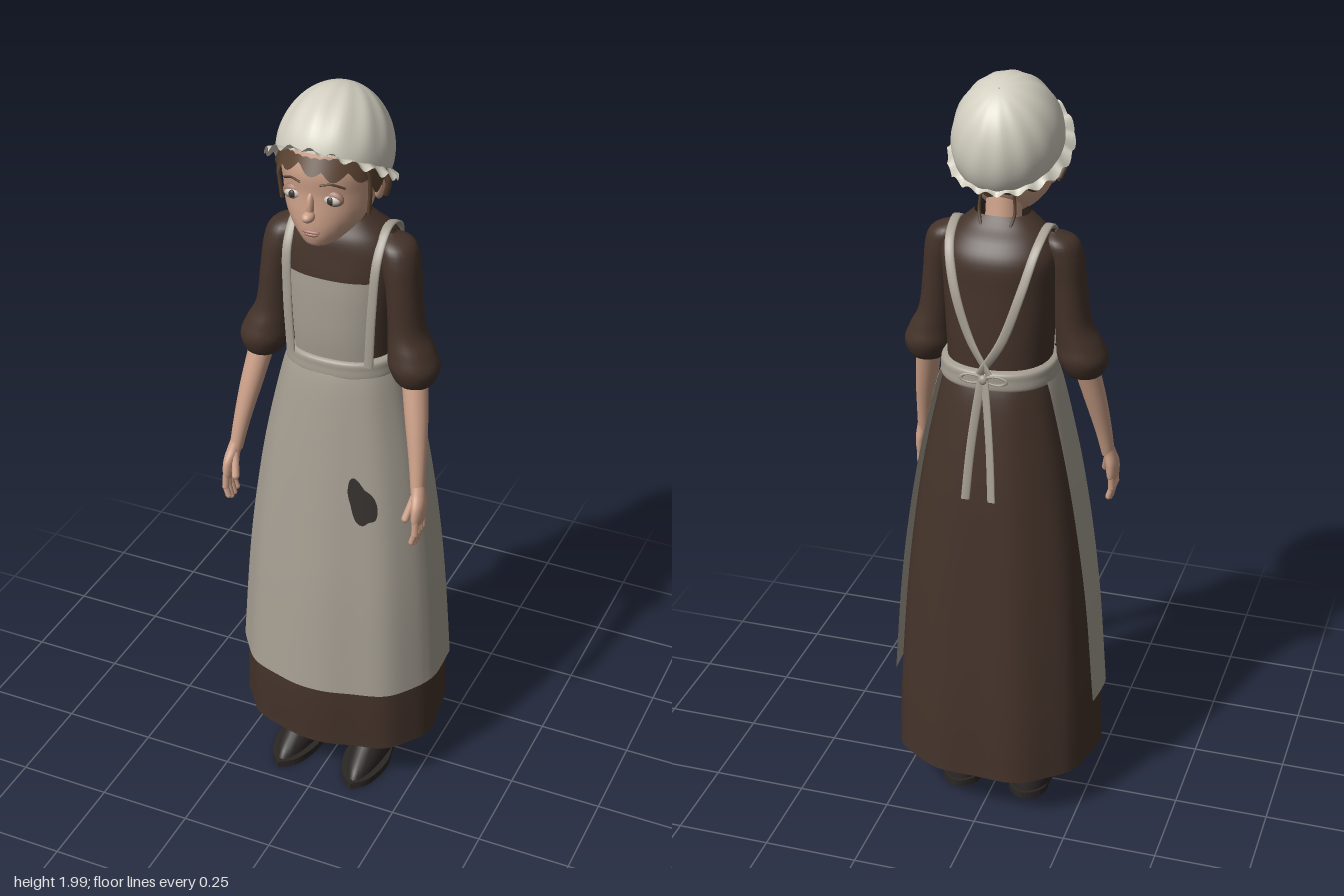
import * as THREE from 'three';
import { ParametricGeometry } from 'three/addons/geometries/ParametricGeometry.js';

const V = (x, y, z) => new THREE.Vector3(x, y, z);
const mat = (color) => new THREE.MeshStandardMaterial({ color, side: THREE.DoubleSide });
const M = {
  dress: mat(0x44332a), apron: mat(0xa59e92), cap: mat(0xd2cec0), skin: mat(0xcda189), hair: mat(0x5a4230),
  boot: mat(0x2b2725), stain: mat(0x35302d), lip: mat(0xa8766a), eye: mat(0xd0c8be), iris: mat(0x3c3632), lid: mat(0x9c7463),
};
const mesh = (name, geo, m) => {
  const o = new THREE.Mesh(geo, m);
  o.name = name;
  return o;
};

// Smooth interpolation through rows of [y, cx, cz, halfWidth, frontDepth, backDepth]
function track(rows) {
  const n = rows.length - 1;
  return (t) => {
    const f = THREE.MathUtils.clamp(t, 0, 1) * n, i = Math.min(Math.floor(f), n - 1), k = f - i;
    const [a, b, c, d] = [rows[Math.max(i - 1, 0)], rows[i], rows[i + 1], rows[Math.min(i + 2, n)]];
    return b.map((p, j) => p + 0.5 * k * (c[j] - a[j] + k * (2 * a[j] - 5 * p + 4 * c[j] - d[j]
      + k * (3 * (p - c[j]) + d[j] - a[j]))));
  };
}
const pw = (v, e) => Math.sign(v) * Math.abs(v) ** e;

// Surface point at an angle (0 = front) and height t; fold adds to the radii
function surface(rows, { e = 1, fold = () => 0 } = {}) {
  const at = track(rows);
  return (a, t, out) => {
    const [y, cx, cz, rx, rf, rb] = at(t), s = Math.sin(a), c = Math.cos(a), o = fold(a, t);
    const r = (q) => Math.max(q + o, 0.001);
    return out.set(cx + r(rx) * pw(s, e), y, cz + r(c > 0 ? rf : rb) * pw(c, e));
  };
}
function loft(name, rows, m, opt = {}) {
  const f = surface(rows, opt), span = opt.span || (() => Math.PI);
  const g = new ParametricGeometry((u, v, p) => f((2 * u - 1) * span(v), v, p), opt.nu || 32, opt.nv || rows.length * 4);
  return mesh(name, g, m);
}
const ball = (name, m, p, r) => {
  const o = mesh(name, new THREE.SphereGeometry(1, 20, 14), m);
  o.position.set(...p);
  o.scale.set(...r);
  return o;
};
const tube = (name, m, pts, r) =>
  mesh(name, new THREE.TubeGeometry(new THREE.CatmullRomCurve3(pts.map((p) => V(...p))), 12, r, 6), m);
function capsule(name, m, a, b, r) {
  const A = V(...a), B = V(...b), d = B.clone().sub(A);
  const o = mesh(name, new THREE.CapsuleGeometry(r, d.length(), 4, 10), m);
  o.position.copy(A).lerp(B, 0.5);
  o.quaternion.setFromUnitVectors(V(0, 1, 0), d.normalize());
  return o;
}
// Flat band following a path around the torso
function ribbon(name, pts, w, th, m) {
  const curve = new THREE.CatmullRomCurve3(pts.map((p) => V(...p)));
  return mesh(name, new ParametricGeometry((u, v, out) => {
    const p = curve.getPoint(v), tan = curve.getTangent(v), a = u * 2 * Math.PI;
    const side = tan.clone().cross(V(0, p.y - 1.45, p.z - 0.01)).normalize(), n = side.clone().cross(tan);
    out.copy(p).addScaledVector(side, w * pw(Math.cos(a), 0.6)).addScaledVector(n, th * Math.sin(a));
  }, 12, 40), m);
}

export function createModel() {
  const g = new THREE.Group();
  g.name = 'girlInApron';

  // Long gathered skirt
  const skirtRows = [
    [0.14, 0, 0, 0.272, 0.210, 0.242], [0.33, 0, 0, 0.266, 0.213, 0.234], [0.6, 0, 0, 0.248, 0.19, 0.213],
    [0.8, 0, 0, 0.227, 0.168, 0.196], [1.0, 0, 0, 0.196, 0.145, 0.176], [1.2, 0, 0, 0.152, 0.12, 0.148],
    [1.27, 0, 0, 0.13, 0.105, 0.125]];
  const folds = (a, t) => (1 - t) * (0.004 * Math.cos(9 * a) + 0.003 * Math.cos(5 * a + 1));
  g.add(loft('skirt', skirtRows, M.dress, { e: 0.87, nu: 72, fold: folds }));

  // Apron panel wraps the front and sides, flaring at its lower corners
  const apronRows = skirtRows.slice(1);
  const apronOpt = {
    e: 0.87, nu: 64, span: (t) => 1.82 + 0.17 * t,
    fold: (a, t) => 0.011 + folds(a, t * 0.85 + 0.15) + 0.012 * (1 - t) ** 2 * Math.max(0, Math.abs(a) - 1.3) * 2,
  };
  g.add(loft('apronSkirt', apronRows, M.apron, apronOpt));
  const onApron = surface(apronRows, apronOpt);
  g.add(mesh('apronStain', new ParametricGeometry((u, v, p) => {
    const a = u * 2 * Math.PI, r = v * (1 + 0.14 * Math.cos(3 * a + 0.5) + 0.05 * Math.sin(5 * a));
    onApron(0.47 + r * (0.17 * Math.cos(a) - 0.07 * Math.sin(a)), 0.51 + 0.062 * r * Math.sin(a), p);
    p.z += 0.003;
    p.x += 0.0015;
  }, 32, 6), M.stain));

  // Bodice, bib and waistband
  g.add(loft('bodice', [
    [1.24, 0, 0, 0.13, 0.1, 0.125], [1.35, 0, 0, 0.135, 0.108, 0.125], [1.48, 0, 0.01, 0.145, 0.1, 0.13],
    [1.56, 0, 0.01, 0.15, 0.092, 0.125], [1.605, 0, 0.01, 0.13, 0.085, 0.1], [1.635, 0, 0.012, 0.1, 0.068, 0.07],
    [1.66, 0, 0.015, 0.07, 0.052, 0.05]], M.dress, { e: 0.87, nu: 48 }));
  g.add(loft('bib', [
    [1.27, 0, 0, 0.14, 0.11, 0.11], [1.35, 0, 0, 0.145, 0.118, 0.12], [1.45, 0, 0.007, 0.15, 0.113, 0.12],
    [1.51, 0, 0.01, 0.155, 0.108, 0.12]], M.apron, { e: 0.87, span: () => 0.71 }));
  g.add(loft('waistband', [
    [1.235, 0, 0, 0.135, 0.108, 0.128], [1.242, 0, 0, 0.149, 0.121, 0.141], [1.265, 0, 0, 0.149, 0.122, 0.142],
    [1.285, 0, 0, 0.146, 0.12, 0.14], [1.292, 0, 0, 0.128, 0.1, 0.12]], M.apron, { e: 0.87, nu: 48 }));

  // Bow at the back of the waist
  g.add(ball('bowKnot', M.apron, [0, 1.275, -0.153], [0.012, 0.013, 0.009]));

  for (const s of [1, -1]) {
    const side = s > 0 ? 'left' : 'right';
    // Shoulder straps cross at the back
    g.add(ribbon(side + 'Strap', [
      [s * 0.105, 1.28, 0.1], [s * 0.113, 1.45, 0.1], [s * 0.118, 1.57, 0.083], [s * 0.118, 1.632, 0.02],
      [s * 0.11, 1.6, -0.07], [s * 0.085, 1.5, -0.117], [s * 0.04, 1.37, -0.132], [s * -0.012, 1.285, -0.143]],
    0.012, 0.004, M.apron));
    const loop = mesh(side + 'BowLoop', new THREE.TorusGeometry(0.022, 0.005, 8, 20), M.apron);
    loop.position.set(s * 0.032, 1.275, -0.151);
    loop.scale.set(1.2, 0.5, 0.6);
    g.add(loop);
    g.add(ribbon(side + 'BowTail', [
      [s * 0.004, 1.275, -0.153], [s * 0.016, 1.18, -0.168], [s * 0.026, 1.08, -0.182], [s * 0.034, 0.96, -0.197]],
    0.011, 0.003, M.apron));

    // Puffed sleeve, forearm and hand
    const limb = (name, rows, m) => g.add(loft(side + name,
      rows.map(([y, x, z, rx, rz]) => [y, s * x, z, rx, rz, rz]), m, { nu: 24 }));
    limb('Sleeve', [
      [1.245, 0.207, 0.042, 0.03, 0.03], [1.238, 0.207, 0.042, 0.045, 0.048], [1.28, 0.203, 0.04, 0.064, 0.068],
      [1.325, 0.193, 0.038, 0.058, 0.063], [1.38, 0.178, 0.033, 0.046, 0.056], [1.48, 0.168, 0.03, 0.043, 0.057],
      [1.56, 0.154, 0.025, 0.048, 0.058], [1.6, 0.143, 0.02, 0.041, 0.048], [1.62, 0.13, 0.015, 0.008, 0.012]], M.dress);
    limb('Forearm', [
      [0.97, 0.253, 0.128, 0.017, 0.02], [1.05, 0.243, 0.108, 0.022, 0.024], [1.15, 0.227, 0.08, 0.029, 0.031],
      [1.27, 0.205, 0.045, 0.034, 0.036]], M.skin);
    limb('Palm', [
      [0.893, 0.263, 0.145, 0.004, 0.01], [0.9, 0.263, 0.144, 0.014, 0.032], [0.94, 0.262, 0.139, 0.017, 0.034],
      [0.975, 0.256, 0.129, 0.017, 0.023], [1.0, 0.25, 0.121, 0.016, 0.019]], M.skin);
    [-1.5, -0.5, 0.5, 1.5].forEach((k, i) => {
      const z = 0.144 + k * 0.016, tip = [0.846, 0.838, 0.837, 0.847][i];
      g.add(capsule(side + 'Finger', M.skin, [s * 0.264, 0.905, z], [s * 0.265, 0.872, z + 0.003], 0.009));
      g.add(capsule(side + 'FingerTip', M.skin, [s * 0.265, 0.872, z + 0.003], [s * 0.257, tip, z + 0.003], 0.008));
    });
    g.add(capsule(side + 'Thumb', M.skin, [s * 0.25, 0.965, 0.14], [s * 0.237, 0.91, 0.167], 0.01));

    // Boot with a flat sole
    const boot = new THREE.Group();
    boot.name = side + 'Boot';
    boot.position.x = s * 0.098;
    boot.rotation.y = s * 0.05;
    const half = [[0.04, 0.175], [0.062, 0.09], [0.05, 0], [0.05, -0.075]];
    const outline = [[0, 0.214], ...half, [0, -0.115], ...half.map(([x, z]) => [-x, z]).reverse(), [0, 0.214]];
    const shape = new THREE.Shape(new THREE.SplineCurve(outline.map(([x, z]) => new THREE.Vector2(x, -z))).getPoints(48));
    const sole = mesh('sole', new THREE.ExtrudeGeometry(shape, { depth: 0.02, bevelEnabled: false }), M.boot);
    sole.rotation.x = -Math.PI / 2;
    boot.add(sole, loft('upper', [
      [0.015, 0, -0.03, 0.054, 0.232, 0.075], [0.04, 0, -0.03, 0.055, 0.21, 0.072], [0.075, 0, -0.03, 0.052, 0.15, 0.065],
      [0.11, 0, -0.03, 0.048, 0.088, 0.056], [0.15, 0, -0.03, 0.046, 0.062, 0.054], [0.25, 0, -0.025, 0.046, 0.055, 0.052],
      [0.45, 0, -0.02, 0.052, 0.055, 0.055]], M.boot));
    g.add(boot);

    // Eyes, brows and ears
    g.add(ball(side + 'EyeSocket', M.lid, [s * 0.05, 1.767, 0.185], [0.028, 0.02, 0.012]));
    g.add(ball(side + 'Eye', M.eye, [s * 0.05, 1.765, 0.189], [0.022, 0.013, 0.012]));
    g.add(ball(side + 'Iris', M.iris, [s * 0.049, 1.765, 0.197], [0.009, 0.01, 0.006]));
    g.add(tube(side + 'Brow', M.hair, [[s * 0.025, 1.803, 0.204], [s * 0.05, 1.806, 0.195], [s * 0.078, 1.794, 0.177]], 0.003));
    g.add(ball(side + 'Ear', M.skin, [s * 0.113, 1.755, 0.06], [0.012, 0.03, 0.02]));
    // Loose locks beside the face and at the nape
    g.add(tube(side + 'SideLock', M.hair, [[s * 0.105, 1.85, 0.13], [s * 0.117, 1.79, 0.125], [s * 0.112, 1.71, 0.12]], 0.005));
    g.add(tube(side + 'EarLock', M.hair, [[s * 0.125, 1.82, 0.08], [s * 0.142, 1.78, 0.075], [s * 0.13, 1.74, 0.06]], 0.008));
    g.add(tube(side + 'NapeLock', M.hair, [[s * 0.04, 1.73, -0.03], [s * 0.045, 1.67, -0.035], [s * 0.03, 1.62, -0.055]], 0.004));
  }

  // Neck, head and face
  g.add(loft('neck', [[1.6, 0, 0.015, 0.05, 0.05, 0.05], [1.65, 0, 0.02, 0.045, 0.045, 0.045],
    [1.72, 0, 0.035, 0.046, 0.05, 0.05]], M.skin));
  g.add(loft('head', [
    [1.63, 0, 0.14, 0.004, 0.004, 0.004], [1.635, 0, 0.135, 0.034, 0.05, 0.06], [1.655, 0, 0.115, 0.06, 0.084, 0.09],
    [1.685, 0, 0.1, 0.086, 0.104, 0.105], [1.72, 0, 0.09, 0.104, 0.114, 0.115], [1.77, 0, 0.085, 0.112, 0.117, 0.118],
    [1.83, 0, 0.08, 0.117, 0.125, 0.122], [1.9, 0, 0.07, 0.1, 0.11, 0.115], [1.95, 0, 0.06, 0.06, 0.065, 0.07],
    [1.965, 0, 0.055, 0.004, 0.004, 0.004]], M.skin));
  g.add(ball('noseBridge', M.skin, [0, 1.745, 0.199], [0.01, 0.034, 0.016]));
  g.add(ball('noseTip', M.skin, [0, 1.722, 0.213], [0.015, 0.013, 0.02]));
  g.add(ball('upperLip', M.lip, [0, 1.679, 0.201], [0.024, 0.005, 0.008]));
  g.add(ball('lowerLip', M.lip, [0, 1.671, 0.198], [0.019, 0.006, 0.009]));

  // Bonnet tilted back, with hair peeping out below its frill
  const bonnet = new THREE.Group();
  bonnet.name = 'bonnet';
  bonnet.position.set(0, 1.81, 0.07);
  bonnet.rotation.x = -0.48;
  bonnet.add(mesh('crown', new ParametricGeometry((u, v, p) => {
    const a = u * 2 * Math.PI, f = v * 1.555, c = Math.cos(f);
    const r = c * (1 + 0.014 * Math.cos(13 * a) * Math.sin(2 * f)) * (1 - 0.04 * (1 - v) ** 8);
    p.set(0.141 * r * Math.sin(a), 0.185 * Math.sin(f), 0.166 * r * Math.cos(a));
  }, 78, 24), M.cap));
  bonnet.add(mesh('frill', new ParametricGeometry((u, v, p) => {
    const a = u * 2 * Math.PI, r = 0.94 + v * (0.2 - 0.07 * (1 - Math.cos(a)) / 2 + 0.012 * Math.cos(19 * a));
    p.set(0.141 * r * Math.sin(a), 0.004 + v * (0.008 * Math.sin(19 * a) - 0.022 * Math.sin(a) ** 2), 0.162 * r * Math.cos(a));
  }, 152, 5), M.cap));
  bonnet.add(mesh('hair', new ParametricGeometry((u, v, p) => {
    const a = u * 2 * Math.PI, jag = Math.abs(Math.sin(6.5 * a + 1.5)) * 0.022 + 0.008 * Math.sin(5 * a);
    p.set(0.125 * Math.sin(a), -(0.03 + jag) * (1 - v) + 0.03 * v, (Math.cos(a) > 0 ? 0.137 : 0.13) * Math.cos(a));
  }, 104, 4), M.hair));
  g.add(bonnet);
  return g;
}
